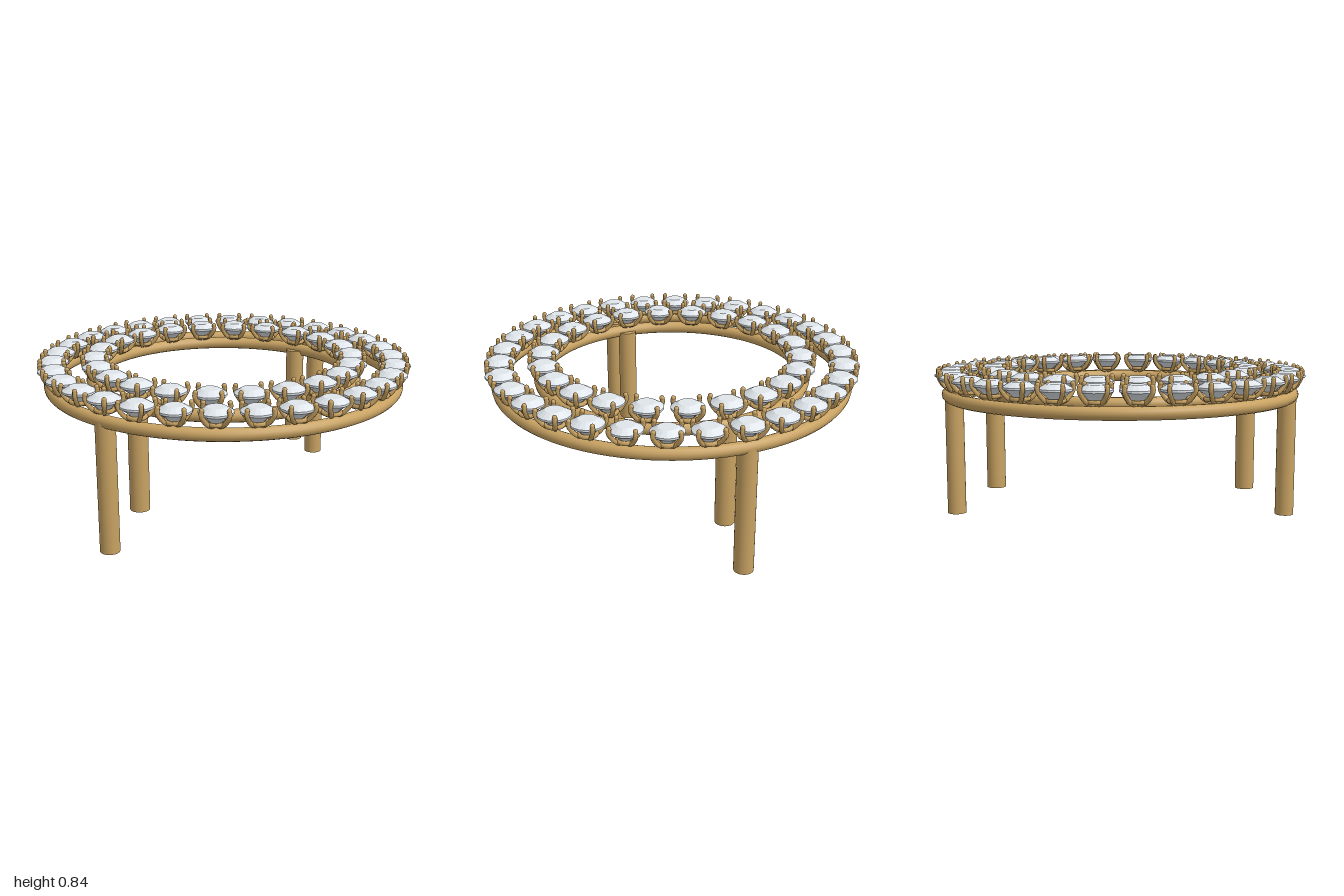
import * as THREE from 'three';

const gold = new THREE.MeshStandardMaterial({ color: 0xc8a262 });
const gem = new THREE.MeshStandardMaterial({ color: 0xdfe5ea, flatShading: true });

function add(parent, name, geometry, material, x = 0, y = 0, z = 0) {
  const mesh = new THREE.Mesh(geometry, material);
  mesh.name = name;
  mesh.position.set(x, y, z);
  parent.add(mesh);
  return mesh;
}

// Cut stone: pavilion, girdle, crown and flat table; y = 0 is the band's centre line
const stoneGeometry = new THREE.LatheGeometry([
  [0, 0.03], [0.05, 0.075], [0.084, 0.098], [0.084, 0.108], [0.046, 0.131], [0, 0.131],
].map(([r, y]) => new THREE.Vector2(r, y)), 16);

// Collar under the stone
const collarGeometry = new THREE.TorusGeometry(0.043, 0.011, 6, 20).rotateX(Math.PI / 2);

// Claw that curves from the band out and over the girdle
const clawPath = new THREE.CatmullRomCurve3([
  [0.012, 0.036], [0.05, 0.05], [0.078, 0.08], [0.092, 0.108], [0.088, 0.128],
].map(([r, y]) => new THREE.Vector3(r, y, 0)));
const clawGeometry = new THREE.TubeGeometry(clawPath, 8, 0.012, 6);
const clawTipGeometry = new THREE.SphereGeometry(0.0125, 8, 6);

function createSetting() {
  const setting = new THREE.Group();
  setting.name = 'stoneSetting';
  add(setting, 'stone', stoneGeometry, gem);
  add(setting, 'collar', collarGeometry, gold, 0, 0.052, 0);
  for (let i = 0; i < 4; i++) {
    const claw = new THREE.Group();
    claw.name = 'claw';
    claw.rotation.y = Math.PI / 4 + i * Math.PI / 2;
    add(claw, 'clawArm', clawGeometry, gold);
    add(claw, 'clawTip', clawTipGeometry, gold, 0.088, 0.128, 0);
    setting.add(claw);
  }
  return setting;
}

// One circular band with its row of stones and two side legs
function createTier(name, radius, y, count, legBottom) {
  const tier = new THREE.Group();
  tier.name = name;
  const band = new THREE.TorusGeometry(radius + 0.017, 0.033, 14, 96).rotateX(Math.PI / 2);
  add(tier, 'band', band, gold, 0, y, 0);

  for (let i = 0; i < count; i++) {
    const a = (i / count) * Math.PI * 2;
    const setting = createSetting();
    setting.position.set(Math.cos(a) * radius, y, -Math.sin(a) * radius);
    setting.rotation.y = a;
    tier.add(setting);
  }

  const height = y - legBottom;
  const legGeometry = new THREE.CylinderGeometry(0.051, 0.051, height, 28);
  for (const side of [1, -1]) {
    add(tier, side > 0 ? 'leftLeg' : 'rightLeg', legGeometry, gold,
      side * radius, legBottom + height / 2, 0);
  }
  return tier;
}

export function createModel() {
  const model = new THREE.Group();
  model.name = 'doubleStoneRing';
  model.add(createTier('outerTier', 0.914, 0.687, 30, 0));
  model.add(createTier('innerTier', 0.689, 0.703, 22, 0.15));
  return model;
}
